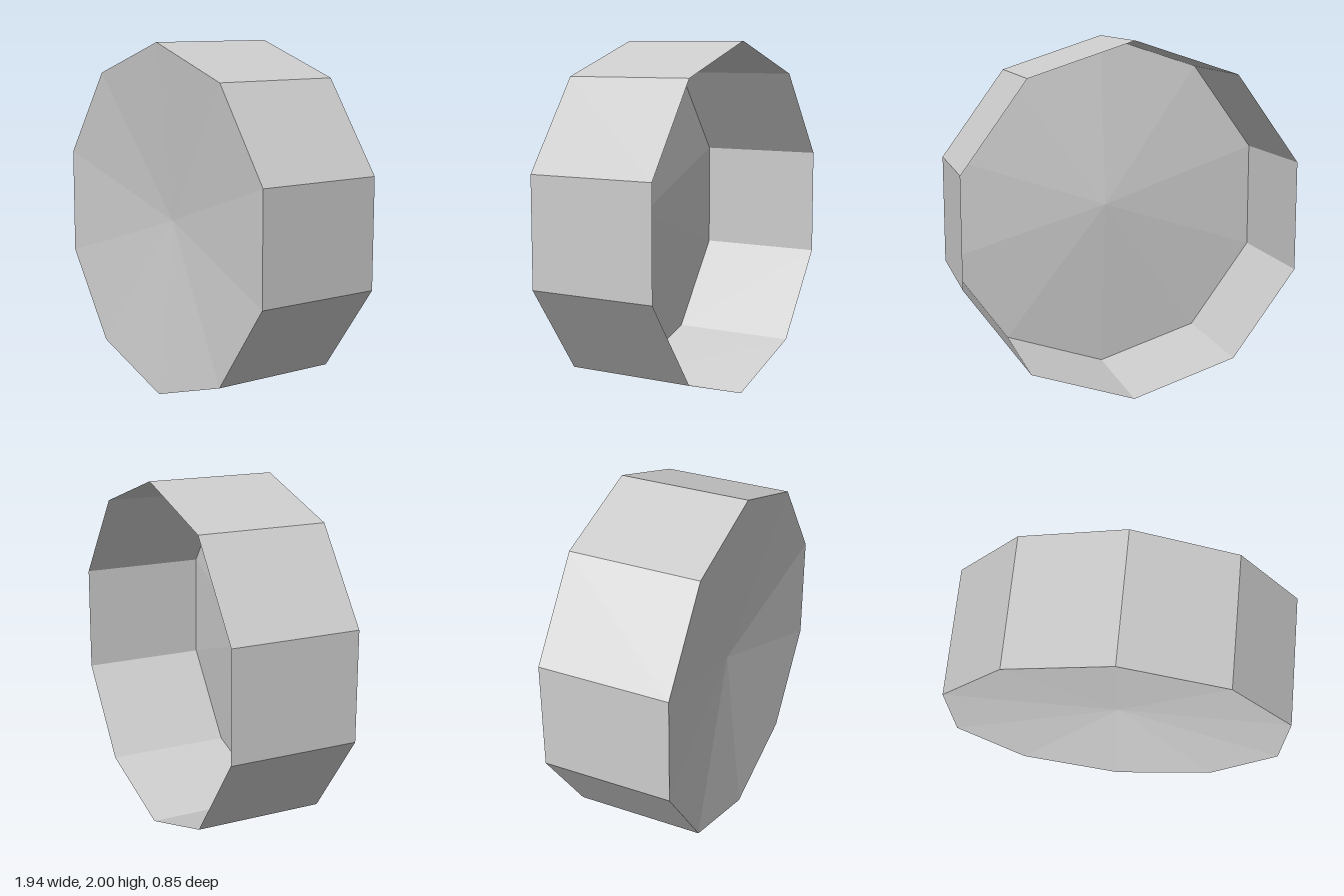
import * as THREE from 'three';

const SIDES = 10;
const RADIUS = 1;
const DEPTH = 0.747;
const DISH = 0.1;

export function createModel() {
  const model = new THREE.Group();
  model.name = 'decagonalDrum';

  const grey = new THREE.MeshStandardMaterial({ color: 0xcccccc, flatShading: true, side: THREE.DoubleSide });
  grey.name = 'light grey';

  // Ten-sided thin wall, open at the back
  const wallGeometry = new THREE.CylinderGeometry(RADIUS, RADIUS, DEPTH, SIDES, 1, true);
  wallGeometry.rotateX(Math.PI / 2);
  const wall = new THREE.Mesh(wallGeometry, grey);
  wall.name = 'sideWall';

  // Front face: a shallow cone dished inward from the front rim
  const faceGeometry = new THREE.ConeGeometry(RADIUS, DISH, SIDES, 1, true);
  faceGeometry.rotateX(-Math.PI / 2);
  faceGeometry.translate(0, 0, DEPTH / 2 - DISH / 2);
  const face = new THREE.Mesh(faceGeometry, grey);
  face.name = 'dishedFrontFace';

  // Stand the drum on its lowest corner, turned slightly about the vertical
  const drum = new THREE.Group();
  drum.name = 'drum';
  drum.add(wall, face);
  drum.position.y = RADIUS;
  drum.rotation.y = -0.053;
  model.add(drum);

  return model;
}
